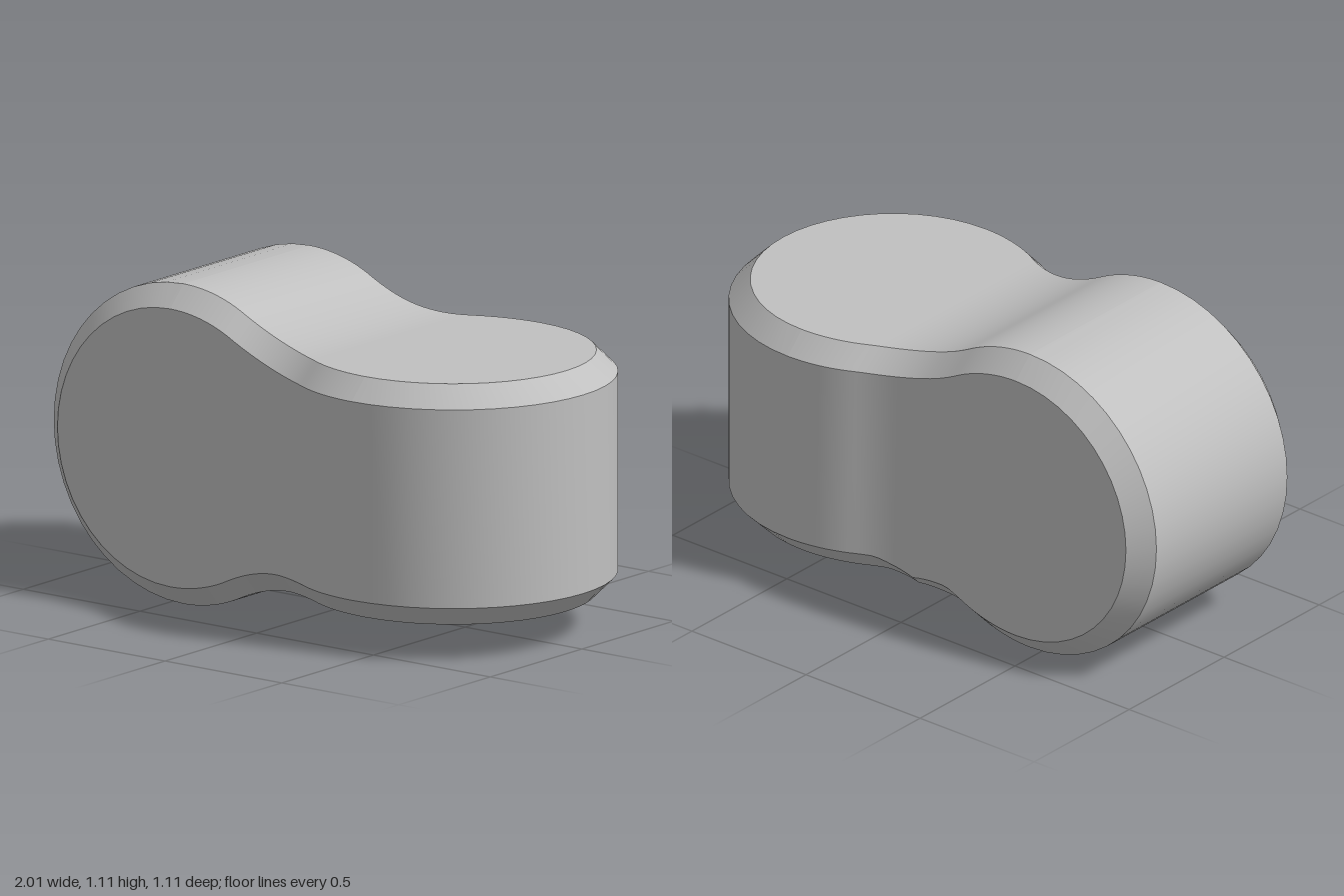
import * as THREE from 'three';
import { toCreasedNormals } from 'three/addons/utils/BufferGeometryUtils.js';

const R = 0.555, CX = 0.45, BEVEL = 0.073;
const NEAR = 0.4, FAR = 0.435; // half thicknesses on the two sides

// Half width along x: flat, then a tangent concave fillet, then the round end
function outline(x, flat, start) {
  if (x <= start) return flat;
  const run = CX - start;
  const fillet = (run * run + flat * flat - R * R) / (2 * (R - flat));
  const touch = CX - run * R / (R + fillet);
  if (x < touch) return flat + fillet - Math.sqrt(fillet ** 2 - (x - start) ** 2);
  return Math.sqrt(R * R - (x - CX) ** 2);
}
const near = (x) => outline(x, NEAR, -0.17);
const far = (x) => outline(x, FAR, -0.07);

// Half of a bevelled drum, on the +x side of its axis
function halfDrum() {
  const profile = [
    [0, -FAR], [R - BEVEL, -FAR], [R, -FAR + BEVEL],
    [R, NEAR - BEVEL], [R - BEVEL, NEAR], [0, NEAR],
  ].map(([r, y]) => new THREE.Vector2(r, y));
  return toCreasedNormals(new THREE.LatheGeometry(profile, 24, 0, Math.PI), 0.5);
}

// Bevelled rectangular section (y, z) of the waist
function section(x) {
  const top = near(-x), bottom = far(-x), front = near(x), back = far(x), b = BEVEL;
  // the lower back bevel narrows in the middle
  const n = THREE.MathUtils.lerp(0.03, b, Math.min(1, Math.abs(x) / 0.14));
  return [
    [top, b - back], [top, front - b], [top - b, front], [b - bottom, front],
    [-bottom, front - b], [-bottom, n - back], [n - bottom, -back], [top - b, -back],
  ];
}

// Loft along x; each side is its own strip so the bevel edges stay sharp
function waistGeometry() {
  const steps = 36, pos = [], index = [];
  for (let side = 0; side < 8; side++) {
    const base = pos.length / 3;
    for (let i = 0; i <= steps; i++) {
      const x = -CX + 2 * CX * i / steps, ring = section(x);
      pos.push(x, ...ring[side], x, ...ring[(side + 1) % 8]);
      if (i < steps) {
        const a = base + i * 2;
        index.push(a, a + 1, a + 2, a + 1, a + 3, a + 2);
      }
    }
  }
  const geometry = new THREE.BufferGeometry();
  geometry.setAttribute('position', new THREE.Float32BufferAttribute(pos, 3));
  geometry.setIndex(index);
  geometry.computeVertexNormals();
  return geometry;
}

export function createModel() {
  const group = new THREE.Group();
  group.name = 'twistedDoubleDrum';
  const grey = new THREE.MeshStandardMaterial({ color: 0xc0c0c0 });
  grey.name = 'grey';

  const add = (name, geometry, x) => {
    const mesh = new THREE.Mesh(geometry, grey);
    mesh.name = name;
    mesh.position.set(x, R, 0);
    group.add(mesh);
  };

  add('waist', waistGeometry(), 0);
  add('uprightDrumEnd', halfDrum(), CX);

  // Same drum end, turned to lie along z on the other side
  const turn = new THREE.Matrix4().makeBasis(
    new THREE.Vector3(-1, 0, 0), new THREE.Vector3(0, 0, 1), new THREE.Vector3(0, 1, 0));
  add('lyingDrumEnd', halfDrum().applyMatrix4(turn), -CX);
  return group;
}
